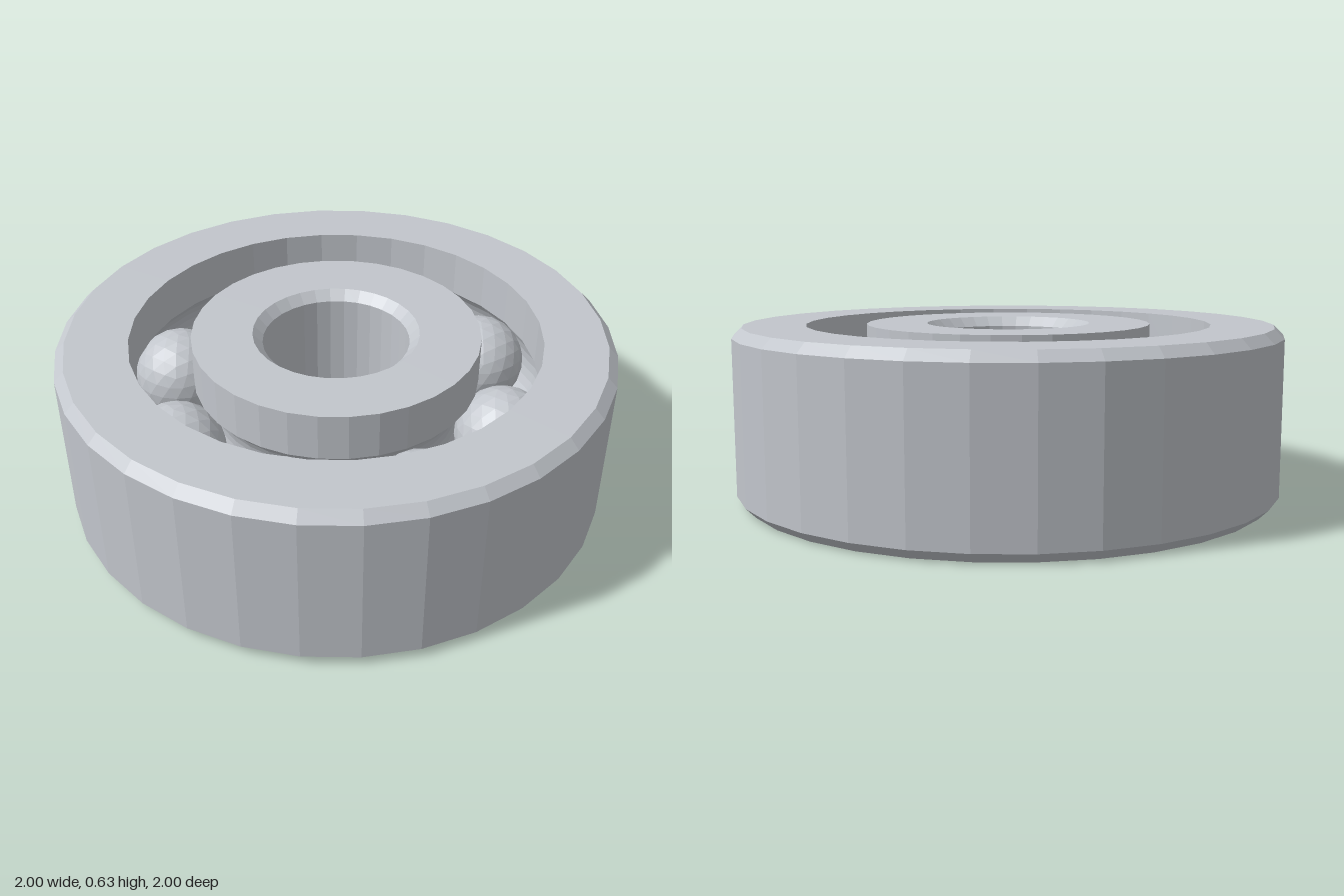
import * as THREE from 'three';

const HEIGHT = 0.63, MID = HEIGHT / 2, CHAMFER = 0.035;
const PITCH = 0.63, BALL = 0.175, GROOVE = 0.18; // ball circle, ball and race radii
const SIDES = 32, BALLS = 8;

// Separate the faces so every facet gets its own normal
function faceted(geometry) {
  const g = geometry.index ? geometry.toNonIndexed() : geometry;
  g.computeVertexNormals();
  return g;
}

// Race groove: arc around the ball centre between two wall heights at radius r
function groove(r, steps = 10) {
  const side = Math.sign(r - PITCH);
  const half = Math.acos(Math.abs(r - PITCH) / GROOVE);
  const points = [];
  for (let i = 0; i <= steps; i++) {
    const a = side * half * (1 - (2 * i) / steps);
    points.push([PITCH + side * GROOVE * Math.cos(a), MID + GROOVE * Math.sin(a)]);
  }
  return points;
}

// Closed profile, running up the outside and down the inside
function ring(name, profile, material) {
  const points = [...profile, profile[0]].map(([r, y]) => new THREE.Vector2(r, y));
  const mesh = new THREE.Mesh(faceted(new THREE.LatheGeometry(points, SIDES)), material);
  mesh.name = name;
  return mesh;
}

export function createModel() {
  const model = new THREE.Group();
  model.name = 'ballBearing';
  const steel = new THREE.MeshStandardMaterial({ color: 0xc2c6cc });
  steel.name = 'steel';

  // Outer ring with chamfered rim and inward-facing race
  model.add(ring('outerRing', [
    [0.74, 0], [1 - CHAMFER, 0], [1, CHAMFER],
    [1, HEIGHT - CHAMFER], [1 - CHAMFER, HEIGHT], [0.74, HEIGHT],
    ...groove(0.74),
  ], steel));

  // Inner ring with outward-facing race and chamfered bore
  model.add(ring('innerRing', [
    [0.3, 0], [0.52, 0], ...groove(0.52), [0.52, HEIGHT], [0.3, HEIGHT],
    [0.265, HEIGHT - CHAMFER], [0.265, CHAMFER],
  ], steel));

  // Balls, each with a vertex pointing up
  const ballGeometry = faceted(new THREE.IcosahedronGeometry(BALL, 3).rotateZ(-0.5536));
  const balls = new THREE.Group();
  balls.name = 'balls';
  for (let i = 0; i < BALLS; i++) {
    const a = (i / BALLS) * Math.PI * 2;
    const ball = new THREE.Mesh(ballGeometry, steel);
    ball.name = 'ball';
    ball.position.set(PITCH * Math.cos(a), MID, PITCH * Math.sin(a));
    balls.add(ball);
  }
  model.add(balls);
  return model;
}
